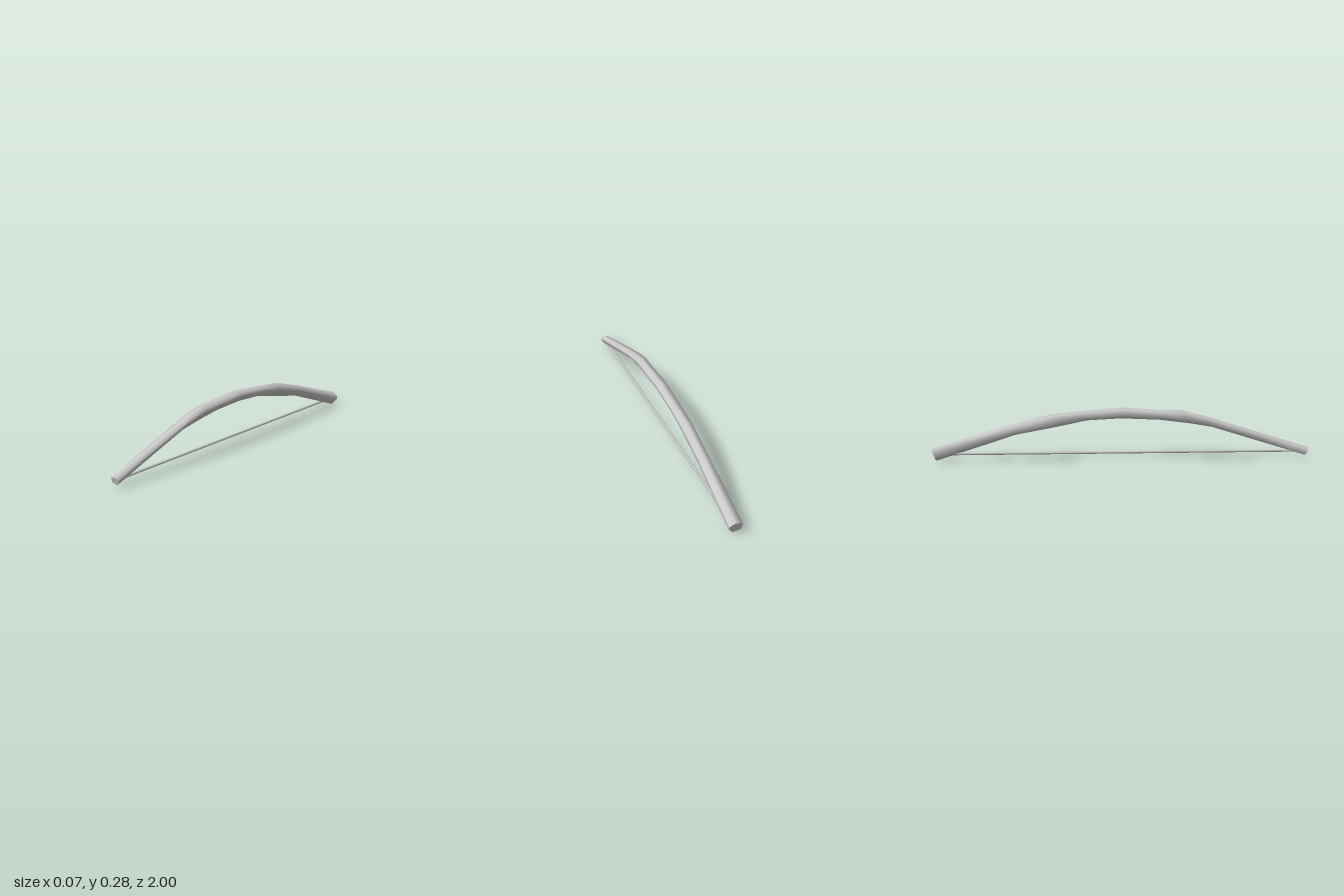
import * as THREE from 'three';

// Six-sided limb section, counter-clockwise seen from +z (x, y in -1..1)
const SECTION = [[0.1, 1], [-1, 0.7], [-1, -0.6], [0.2, -1], [1, 0], [0.85, 0.5]];

// Stations front to back: [z top, y top, z bottom, y bottom, half width, x centre]
const STATIONS = [
  [1.0, 0.055, 0.985, 0.013, 0.022, -0.003],
  [0.7, 0.15, 0.69, 0.105, 0.024, -0.003],
  [0.44, 0.23, 0.48, 0.17, 0.027, -0.002],
  [0.315, 0.262, 0.36, 0.19, 0.028, -0.001],
  [0.24, 0.261, 0.2, 0.21, 0.028, -0.001],
  [0, 0.278, 0, 0.219, 0.029, 0],
  [-0.23, 0.259, -0.18, 0.21, 0.029, 0],
  [-0.365, 0.248, -0.34, 0.177, 0.03, 0],
  [-0.6, 0.187, -0.56, 0.136, 0.03, 0],
  [-1.0, 0.07, -0.975, 0.002, 0.034, -0.001],
];

function ringPoints([zt, yt, zb, yb, w, cx]) {
  return SECTION.map(([u, v]) => {
    const t = (v + 1) / 2;
    return [cx + u * w, yb + (yt - yb) * t, zb + (zt - zb) * t];
  });
}

// Loft through the stations, with separate cap vertices for crisp ends
function loft(stations) {
  const n = SECTION.length;
  const rings = stations.map(ringPoints);
  const pos = rings.flat();
  const index = [];
  for (let s = 0; s < rings.length - 1; s++) {
    for (let i = 0; i < n; i++) {
      const a = s * n + i, b = s * n + (i + 1) % n;
      index.push(a, a + n, b, b, a + n, b + n);
    }
  }
  const cap = (ring, flip) => {
    const base = pos.length;
    pos.push(...ring);
    for (let i = 1; i < n - 1; i++) {
      index.push(base, base + (flip ? i + 1 : i), base + (flip ? i : i + 1));
    }
  };
  cap(rings[0], false);
  cap(rings[rings.length - 1], true);
  const geo = new THREE.BufferGeometry();
  geo.setAttribute('position', new THREE.Float32BufferAttribute(pos.flat(), 3));
  geo.setIndex(index);
  geo.computeVertexNormals();
  return geo;
}

export function createModel() {
  const group = new THREE.Group();
  group.name = 'bow';
  const material = new THREE.MeshStandardMaterial({ color: 0xcccccc });

  // Curved wooden stave
  const stave = new THREE.Mesh(loft(STATIONS), material);
  stave.name = 'stave';
  group.add(stave);

  // Taut string, its ends buried in the limb tips
  const string = new THREE.Mesh(new THREE.CylinderGeometry(0.007, 0.007, 1.88, 6), material);
  string.name = 'bowstring';
  string.rotation.x = Math.PI / 2;
  string.position.set(-0.002, 0.038, 0.01);
  group.add(string);

  return group;
}
